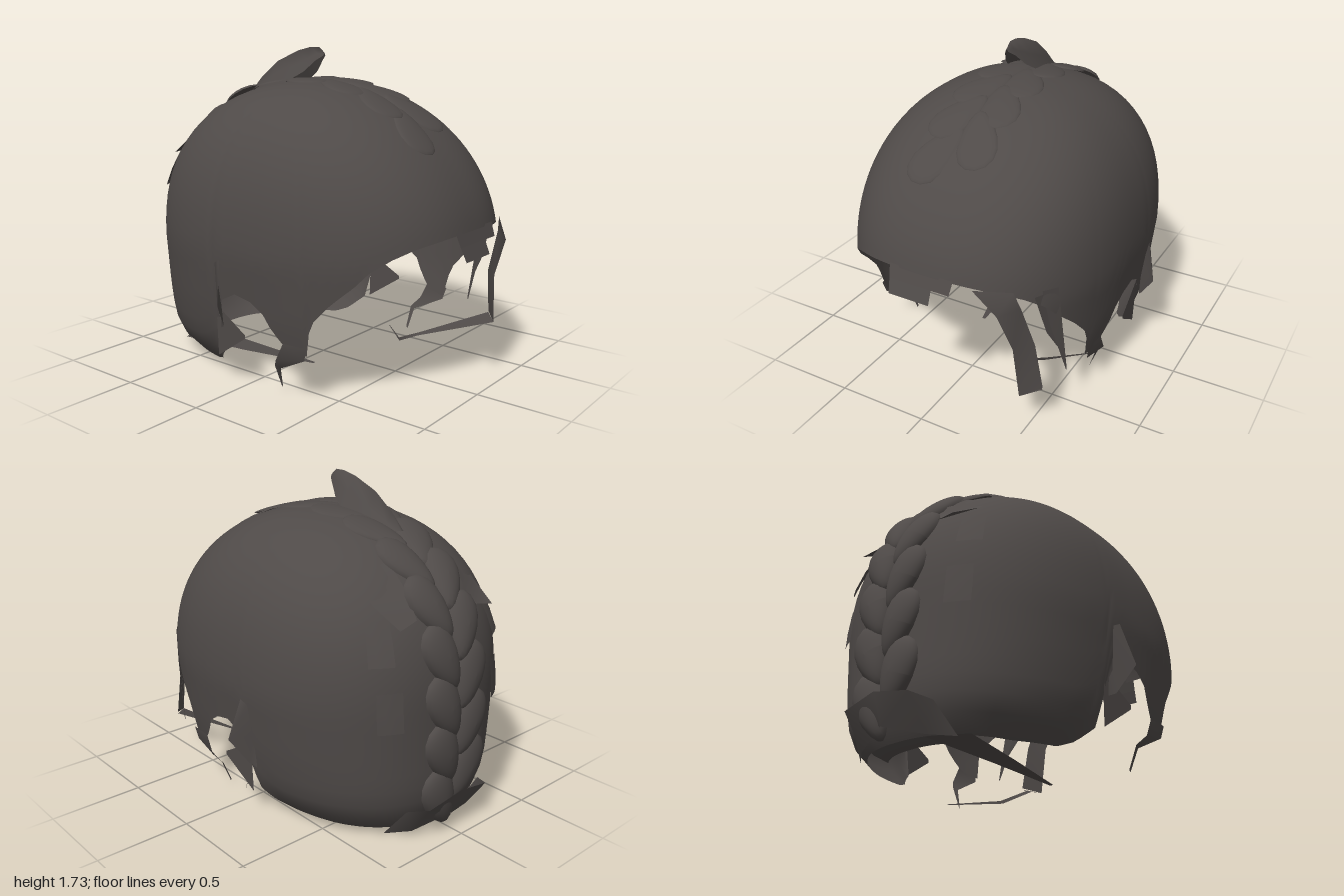
import * as THREE from 'three';

const hair = new THREE.MeshStandardMaterial({ color: 0x4f4a48, side: THREE.DoubleSide });
hair.name = 'dark hair';

// Linear lookup in a table of [key, value] with rising keys
function lookup(table, k) {
  if (k <= table[0][0]) return table[0][1];
  for (let i = 1; i < table.length; i++) {
    const [a, va] = table[i - 1], [b, vb] = table[i];
    if (k <= b) return va + (vb - va) * (k - a) / (b - a);
  }
  return table[table.length - 1][1];
}

// Lower edge of the hair by depth: nape, ear notch, sideburn, temple, fringe
const EDGE = [[-0.95, 0.04], [-0.6, 0.03], [-0.35, 0.04], [-0.26, 0.07], [-0.15, 0.16], [-0.145, 0.36], [-0.1, 0.46],
  [0, 0.51], [0.1, 0.49], [0.19, 0.43], [0.22, 0.36], [0.3, 0.27], [0.42, 0.25], [0.44, 0.42], [0.55, 0.54],
  [0.66, 0.64], [0.72, 0.71], [0.8, 0.77], [0.87, 0.81], [0.97, 0.85]];
const WIDTH = [[0, 0.5], [0.1, 0.61], [0.2, 0.665], [0.4, 0.705], [0.7, 0.74]];
const BACK = [[0, 0.8], [0.1, 0.88], [0.25, 0.92], [0.7, 0.92]];
const TOP = 1.55, MID = 0.7;

const dome = (y, p) => y <= MID ? 1 : Math.pow(Math.max(0, 1 - Math.pow((y - MID) / (TOP - MID), p)), 1 / p);
const bow = v => Math.sign(v) * Math.pow(Math.abs(v), 2 / 2.4);

// Point on the hair surface at an angle round the head and a height
function surface(a, y, out = 0) {
  const c = bow(Math.cos(a)), s = bow(Math.sin(a));
  const w = lookup(WIDTH, y) * dome(y, 2.4);
  const d = s > 0 ? 0.97 * dome(y, 1.95) : lookup(BACK, y) * dome(y, 2.3);
  return new THREE.Vector3(c * (w + out), y, s * (d + out));
}

// Surface from a grid of points, optionally closed along each row
function loft(rows, closed) {
  const n = rows[0].length, pos = [], idx = [];
  rows.forEach(r => r.forEach(p => pos.push(p.x, p.y, p.z)));
  for (let j = 0; j < rows.length - 1; j++) {
    for (let i = 0; i < (closed ? n : n - 1); i++) {
      const a = j * n + i, b = j * n + (i + 1) % n;
      idx.push(a, a + n, b, b, a + n, b + n);
    }
  }
  const g = new THREE.BufferGeometry();
  g.setAttribute('position', new THREE.Float32BufferAttribute(pos, 3));
  g.setIndex(idx);
  g.computeVertexNormals();
  return g;
}

function part(parent, name, geometry) {
  const m = new THREE.Mesh(geometry, hair);
  m.name = name;
  parent.add(m);
  return m;
}

// Flat lock of hair: each station is two opposite edge points
function ribbon(parent, name, stations) {
  return part(parent, name, loft(stations.map(s => s.map(p => new THREE.Vector3(...p))), false));
}

export function createModel() {
  const model = new THREE.Group();
  model.name = 'braidedHair';

  // Main shell, open at the face, ears and neck
  const SEG = 192, ROWS = 28, rows = [];
  for (let j = 0; j <= ROWS; j++) {
    const row = [];
    for (let i = 0; i < SEG; i++) {
      const a = i / SEG * Math.PI * 2, s = Math.sin(a);
      const edge = lookup(EDGE, bow(s) * (s > 0 ? 0.97 : 0.92));
      row.push(surface(a, edge + (TOP - edge) * Math.sin(j / ROWS * Math.PI / 2)));
    }
    rows.push(row);
  }
  part(model, 'hairShell', loft(rows, true));

  // Braid of half-domed lobes along the middle, from the forehead over the crown to the nape
  const braid = new THREE.Group();
  braid.name = 'braid';
  model.add(braid);
  const path = new THREE.CatmullRomCurve3([[1.29, 0.68], [1.42, 0.5], [1.51, 0.27], [1.55, 0], [1.53, -0.25],
    [1.44, -0.52], [1.24, -0.76], [1, -0.88], [0.7, -0.925], [0.4, -0.925], [0.14, -0.905]]
    .map(([y, z]) => new THREE.Vector3(0, y, z)));
  const lobe = new THREE.SphereGeometry(1, 16, 7, 0, Math.PI * 2, 0, Math.PI / 2);
  const lp = lobe.attributes.position;
  for (let i = 0; i < lp.count; i++) lp.setX(i, lp.getX(i) * (1 + 0.35 * lp.getZ(i)));
  lobe.computeVertexNormals();
  const COUNT = 22, X = new THREE.Vector3(1, 0, 0);
  for (let i = 0; i < COUNT; i++) {
    const u = (i + 0.5) / COUNT, side = i % 2 ? 1 : -1;
    const t = path.getTangentAt(u).negate();
    const n = new THREE.Vector3().crossVectors(t, X);
    const thick = THREE.MathUtils.lerp(0.02, 0.062, THREE.MathUtils.smoothstep(u, 0.35, 0.65));
    const m = part(braid, 'braidLobe', lobe);
    m.quaternion.setFromRotationMatrix(new THREE.Matrix4().makeBasis(X, n, t));
    m.rotateY(side * 0.38);
    m.position.copy(path.getPointAt(u)).addScaledVector(n, -0.004);
    m.position.x = side * 0.085;
    m.scale.set(0.1, thick, 0.18);
  }

  // Raised curl standing up from the crown: depth, ridge, base height, half width
  const fin = [[-0.52, 1.46, 1.44, 0.03], [-0.42, 1.56, 1.46, 0.07], [-0.3, 1.65, 1.5, 0.09], [-0.15, 1.71, 1.545, 0.095],
    [-0.06, 1.73, 1.6, 0.06], [0, 1.73, 1.66, 0.03], [0.035, 1.7, 1.685, 0.008]];
  part(model, 'crownCurl', loft(fin.map(([z, r, b, w]) => [[-w, b], [-w * 0.5, (b + r) / 2], [0, r],
    [w * 0.5, (b + r) / 2], [w, b]].map(([x, y]) => new THREE.Vector3(x - 0.035, y, z))), false));

  // Fringe in the middle of the forehead
  ribbon(model, 'fringe', [[[-0.17, 0.86, 0.945], [0.19, 0.86, 0.945]], [[-0.16, 0.79, 0.97], [0.18, 0.79, 0.97]]]);
  ribbon(model, 'fringeTip', [[[-0.16, 0.79, 0.97], [0.08, 0.79, 0.97]], [[-0.15, 0.72, 0.998], [0.08, 0.72, 0.998]]]);

  // Long loose lock beside the left cheek, trailing into a thin wisp
  ribbon(model, 'cheekLock', [[[0.29, 0.84, 0.94], [0.46, 0.83, 0.85]], [[0.41, 0.72, 0.92], [0.49, 0.74, 0.83]],
    [[0.45, 0.5, 0.84], [0.53, 0.5, 0.76]], [[0.48, 0.22, 0.83], [0.57, 0.25, 0.75]]]);
  ribbon(model, 'cheekWisp', [[[0.48, 0.22, 0.83], [0.57, 0.24, 0.75]], [[0.27, 0.12, 0.47], [0.29, 0.13, 0.46]],
    [[0.34, 0.03, 0.3], [0.35, 0.045, 0.29]], [[0.56, 0.015, 0.08], [0.56, 0.02, 0.08]]]);
  ribbon(model, 'templeWisp', [[[0.55, 0.8, 0.73], [0.6, 0.8, 0.66]], [[0.57, 0.6, 0.69], [0.61, 0.62, 0.64]],
    [[0.62, 0.27, 0.59], [0.62, 0.28, 0.585]]]);
  ribbon(model, 'templeWisp', [[[0.53, 0.78, 0.77], [0.56, 0.78, 0.71]], [[0.56, 0.55, 0.7], [0.58, 0.55, 0.67]],
    [[0.59, 0.44, 0.64], [0.59, 0.45, 0.635]]]);

  // Sideburn tips, ear flaps and nape locks on both sides
  for (const s of [1, -1]) {
    const z0 = s > 0 ? -0.12 : -0.04;
    ribbon(model, 'sideburnTip', [[[s * 0.66, 0.3, 0.42], [s * 0.67, 0.3, 0.28]], [[s * 0.65, 0.23, 0.4], [s * 0.67, 0.2, 0.23]],
      [[s * 0.62, 0.14, 0.22], [s * 0.63, 0.15, 0.19]], [[s * 0.58, 0.02, 0.2], [s * 0.58, 0.03, 0.19]]]);
    ribbon(model, 'earFlap', [[[s * 0.745, 0.68, z0 - 0.04], [s * 0.735, 0.66, z0 - 0.08]],
      [[s * 0.8, 0.46, z0], [s * 0.7, 0.48, z0 - 0.08]], [[s * 0.71, 0.32, z0 - 0.05], [s * 0.69, 0.3, z0 - 0.09]]]);
    ribbon(model, 'earLock', [[[s * 0.69, 0.42, -0.16], [s * 0.68, 0.14, -0.16]],
      [[s * 0.7, 0.3, 0.05], [s * 0.7, 0.28, 0.05]]]);
    ribbon(model, 'napeLock', [[[0, 0.24, -0.985], [0, 0.09, -0.93]],
      [[s * 0.21, 0.2, -0.97], [s * 0.21, 0.03, -0.85]], [[s * 0.27, 0.17, -0.87], [s * 0.32, 0.02, -0.76]]]);
    // Locks lifting slightly off the back of the head
    ribbon(model, 'liftedLock', [[[s * 0.18, 1.38, -0.61], [s * 0.36, 1.32, -0.58]],
      [[s * 0.19, 1.26, -0.75], [s * 0.36, 1.21, -0.7]], [[s * 0.2, 1.14, -0.83], [s * 0.33, 1.12, -0.85]]]);
    for (const [a, y] of [[-1.15, 1.05], [-1.2, 0.72]]) {
      const lock = [0, 1, 2].map(j => [0, 1, 2, 3].map(i => {
        const p = surface(a + i * 0.06, y + 0.1 - j * 0.1, j * 0.008 + 0.004);
        p.x *= s;
        return p;
      }));
      part(model, 'backLock', loft(lock, false));
    }
  }

  // Hair turned under along the inside of the nape
  const under = [[0.22, -0.012], [0.13, -0.03], [0.06, -0.05], [0.03, -0.09]].map(([y, out]) =>
    Array.from({ length: 17 }, (_, i) => surface(-Math.PI / 2 + (i / 8 - 1) * 0.5, y, out)));
  part(model, 'napeUnderside', loft(under, false));

  // Thin strand lying under the neck
  ribbon(model, 'neckStrand', [[[-0.38, 0.025, -0.74], [-0.18, 0.03, -0.83]], [[-0.3, 0.01, -0.35], [-0.18, 0.015, -0.35]],
    [[-0.19, 0, 0.08], [-0.17, 0, 0.08]]]);
  return model;
}
